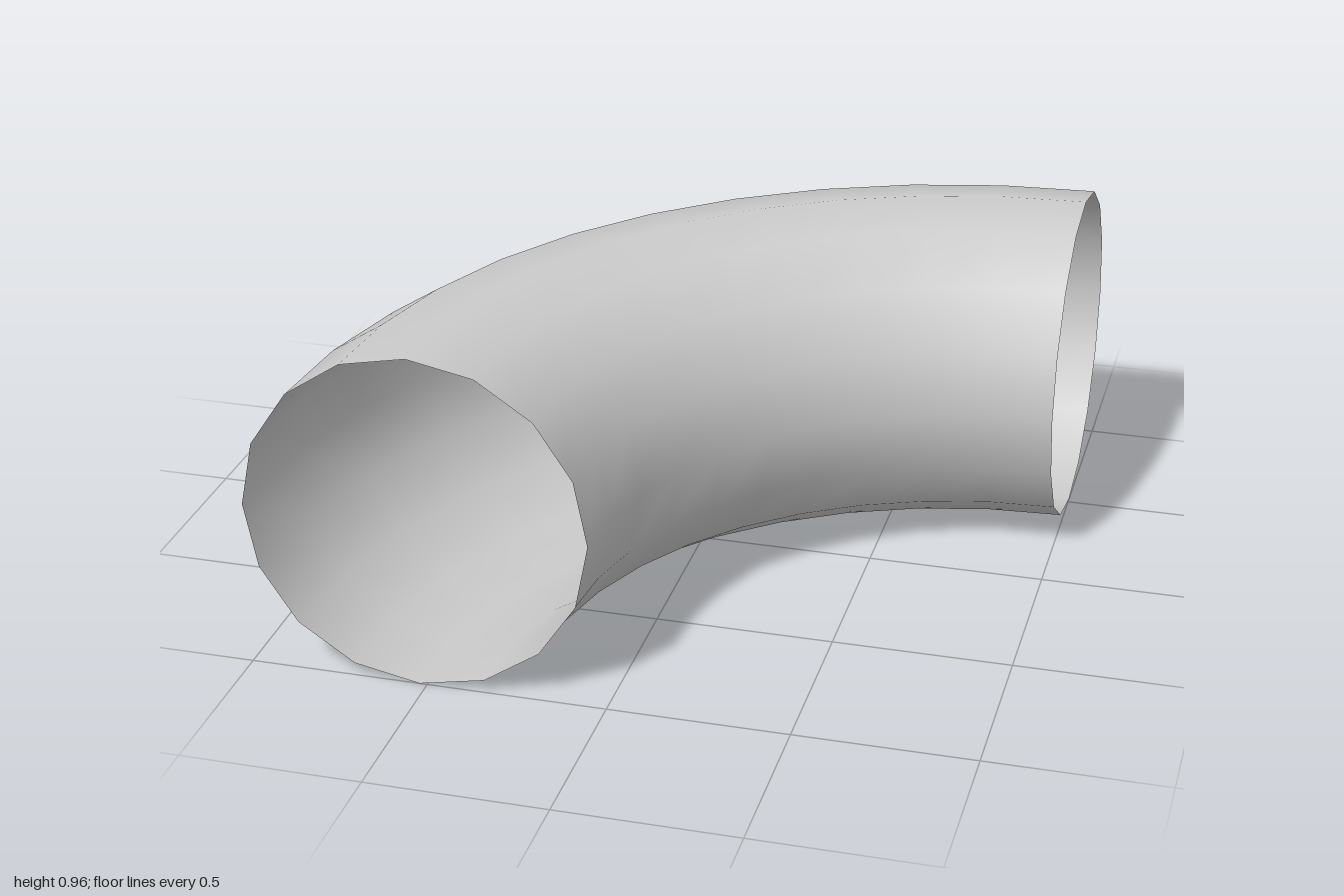
import * as THREE from 'three';

export function createModel() {
  const group = new THREE.Group();
  const tubeRadius = 0.478;
  const bendRadius = 2 - tubeRadius;

  // Open quarter-turn pipe elbow, bending around the corner at +x, +z
  const geometry = new THREE.TorusGeometry(bendRadius, tubeRadius, 16, 10, Math.PI / 2);
  geometry.rotateX(-Math.PI / 2);
  geometry.rotateY(Math.PI / 2);
  geometry.translate(1, tubeRadius, 1);

  const material = new THREE.MeshStandardMaterial({ color: 0xcccccc, side: THREE.DoubleSide });
  const elbow = new THREE.Mesh(geometry, material);
  elbow.name = 'pipeElbow';
  group.add(elbow);
  return group;
}
